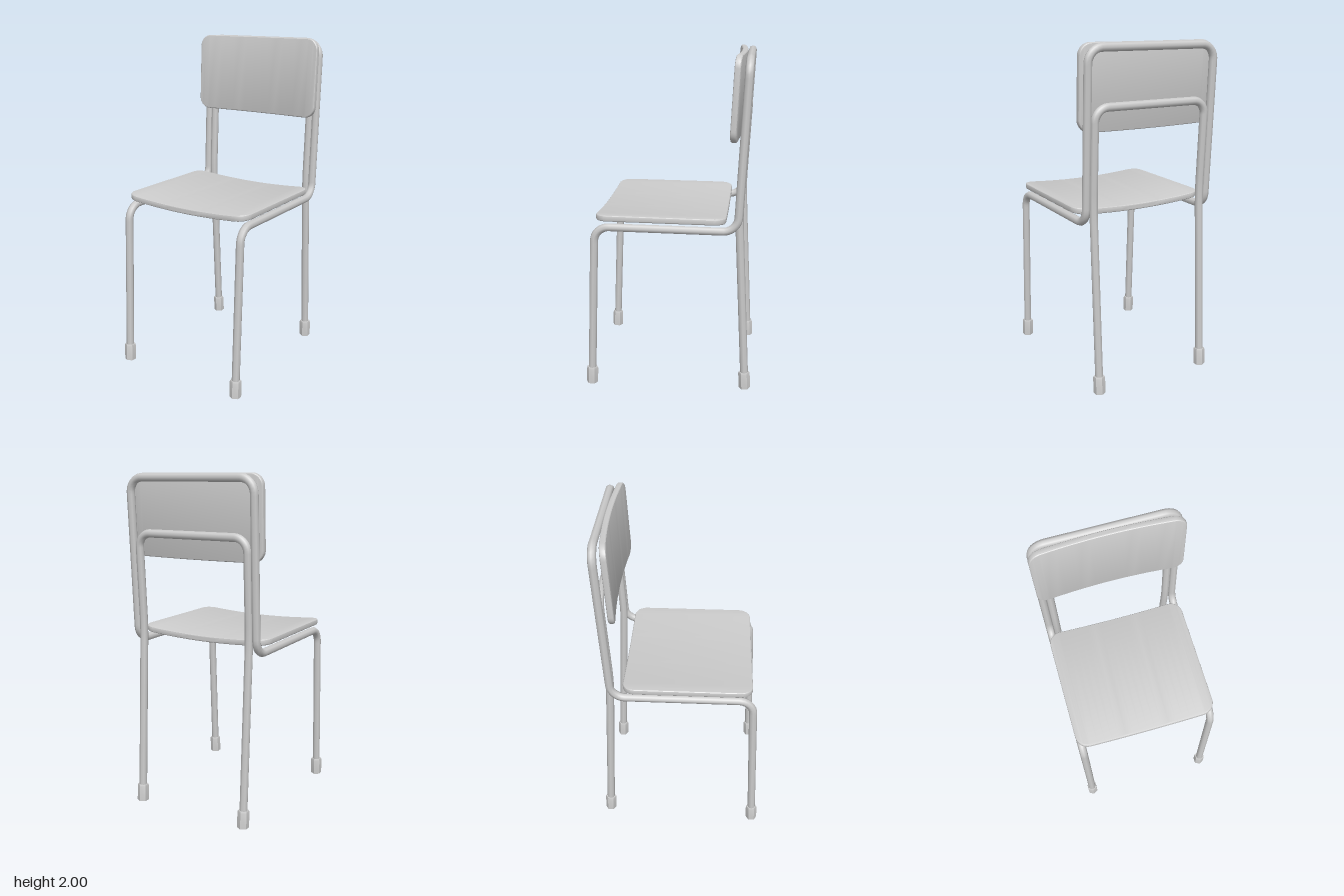
import * as THREE from 'three';
import { toCreasedNormals } from 'three/addons/utils/BufferGeometryUtils.js';

const material = new THREE.MeshStandardMaterial({ color: 0xcccccc });
const TUBE_R = 0.024;

function mesh(name, geometry) {
  const m = new THREE.Mesh(geometry, material);
  m.name = name;
  return m;
}

// Path of straight runs joined by rounded corners
function roundedPath(points, radius) {
  const path = new THREE.CurvePath();
  let from = points[0];
  for (let i = 1; i < points.length - 1; i++) {
    const p = points[i];
    const toward = (q) => p.clone().add(q.clone().sub(p).setLength(radius));
    const a = toward(points[i - 1]);
    const b = toward(points[i + 1]);
    // Cubic handles give a near circular bend
    const c1 = a.clone().lerp(p, 0.55);
    const c2 = b.clone().lerp(p, 0.55);
    path.add(new THREE.LineCurve3(from, a));
    path.add(new THREE.CubicBezierCurve3(a, c1, c2, b));
    from = b;
  }
  path.add(new THREE.LineCurve3(from, points[points.length - 1]));
  return path;
}

// Bent tube: one side is given as [y, z] pairs and mirrored across x = 0
function hoop(name, x, side, radius) {
  const left = side.map(([y, z]) => new THREE.Vector3(x, y, z));
  const right = side.map(([y, z]) => new THREE.Vector3(-x, y, z)).reverse();
  const path = roundedPath([...left, ...right], radius);
  return mesh(name, new THREE.TubeGeometry(path, 320, TUBE_R, 8, false));
}

// Rounded rectangular board with softened edges, curving up towards x = +-w
function curvedPanel(name, w, h, thickness, radius, sag) {
  const bevel = 0.01, half = thickness / 2;
  const cornerSteps = 8, spanSteps = 16;

  // Half outline from -x to +x, as [x, z] columns
  const columns = (inset) => {
    const W = w - inset, H = h - inset, R = radius - inset;
    const cols = [];
    for (let i = 0; i <= cornerSteps; i++) {
      const a = (i / cornerSteps) * Math.PI / 2;
      cols.push([-W + R * (1 - Math.cos(a)), H - R * (1 - Math.sin(a))]);
    }
    const mirrored = cols.map(([x, z]) => [-x, z]).reverse();
    for (let i = 1; i < spanSteps; i++) {
      cols.push([(W - R) * (2 * i / spanSteps - 1), H]);
    }
    return cols.concat(mirrored);
  };

  // Stacked outlines from the underside to the face
  const levels = [];
  for (let i = 0; i <= 3; i++) {
    const a = (i / 3) * Math.PI / 2;
    levels.push([bevel * (1 - Math.sin(a)), -half + bevel * (1 - Math.cos(a))]);
  }
  levels.push(...levels.map(([inset, y]) => [inset, -y]).reverse());

  const positions = [], index = [];
  const n = columns(0).length, ring = 2 * n;
  for (const [inset, y] of levels) {
    const cols = columns(inset);
    const loop = [...cols, ...cols.map(([x, z]) => [x, -z]).reverse()];
    for (const [x, z] of loop) positions.push(x, y + sag * (x / w) ** 2, z);
  }
  const quad = (a, b, c, d) => index.push(a, b, c, a, c, d);
  for (let l = 0; l < levels.length - 1; l++) {
    for (let j = 0; j < ring; j++) {
      const k = (j + 1) % ring;
      quad(l * ring + j, l * ring + k, (l + 1) * ring + k, (l + 1) * ring + j);
    }
  }
  const top = (levels.length - 1) * ring;
  for (let k = 0; k < n - 1; k++) {
    const across = ring - 1 - k;
    quad(top + k, top + k + 1, top + across - 1, top + across);
    quad(across, across - 1, k + 1, k);
  }
  const geometry = new THREE.BufferGeometry();
  geometry.setAttribute('position', new THREE.Float32BufferAttribute(positions, 3));
  geometry.setIndex(index);
  return mesh(name, toCreasedNormals(geometry, 0.4));
}

// Six-sided foot cap, leaning along its leg
function foot(name, x, z, lean) {
  const profile = [[0, 0.004], [0.026, 0.004], [0.03, 0], [0.035, 0],
    [0.035, 0.095], [0.032, 0.105], [0.02, 0.105]];
  const geometry = new THREE.LatheGeometry(profile.map(([r, y]) => new THREE.Vector2(r, y)), 6);
  const m = mesh(name, toCreasedNormals(geometry, 0.6));
  m.position.set(x, 0, z);
  m.rotation.x = lean;
  return m;
}

export function createModel() {
  const chair = new THREE.Group();
  chair.name = 'chair';

  // Front legs, seat rails and back uprights in one bent tube
  chair.add(hoop('mainFrame', 0.405,
    [[0.01, 0.473], [1.015, 0.428], [1.015, -0.403], [1.976, -0.446]], 0.085));

  // Rear legs nested inside the uprights, joined behind the backrest
  chair.add(hoop('rearLegFrame', 0.36,
    [[0.01, -0.468], [1.1, -0.408], [1.66, -0.434]], 0.08));

  // Seat board
  const seat = curvedPanel('seat', 0.43, 0.38, 0.037, 0.075, 0.022);
  seat.position.set(0, 1.052, 0.045);
  chair.add(seat);

  // Backrest board
  const backrest = curvedPanel('backrest', 0.43, 0.24, 0.036, 0.07, 0.024);
  backrest.position.set(0, 1.76, -0.396);
  backrest.rotation.x = Math.PI / 2 - 0.045;
  chair.add(backrest);

  // Foot caps
  for (const [sideName, s] of [['left', 1], ['right', -1]]) {
    chair.add(foot(sideName + 'FrontFoot', s * 0.405, 0.473, -0.045));
    chair.add(foot(sideName + 'RearFoot', s * 0.36, -0.468, 0.055));
  }
  return chair;
}
